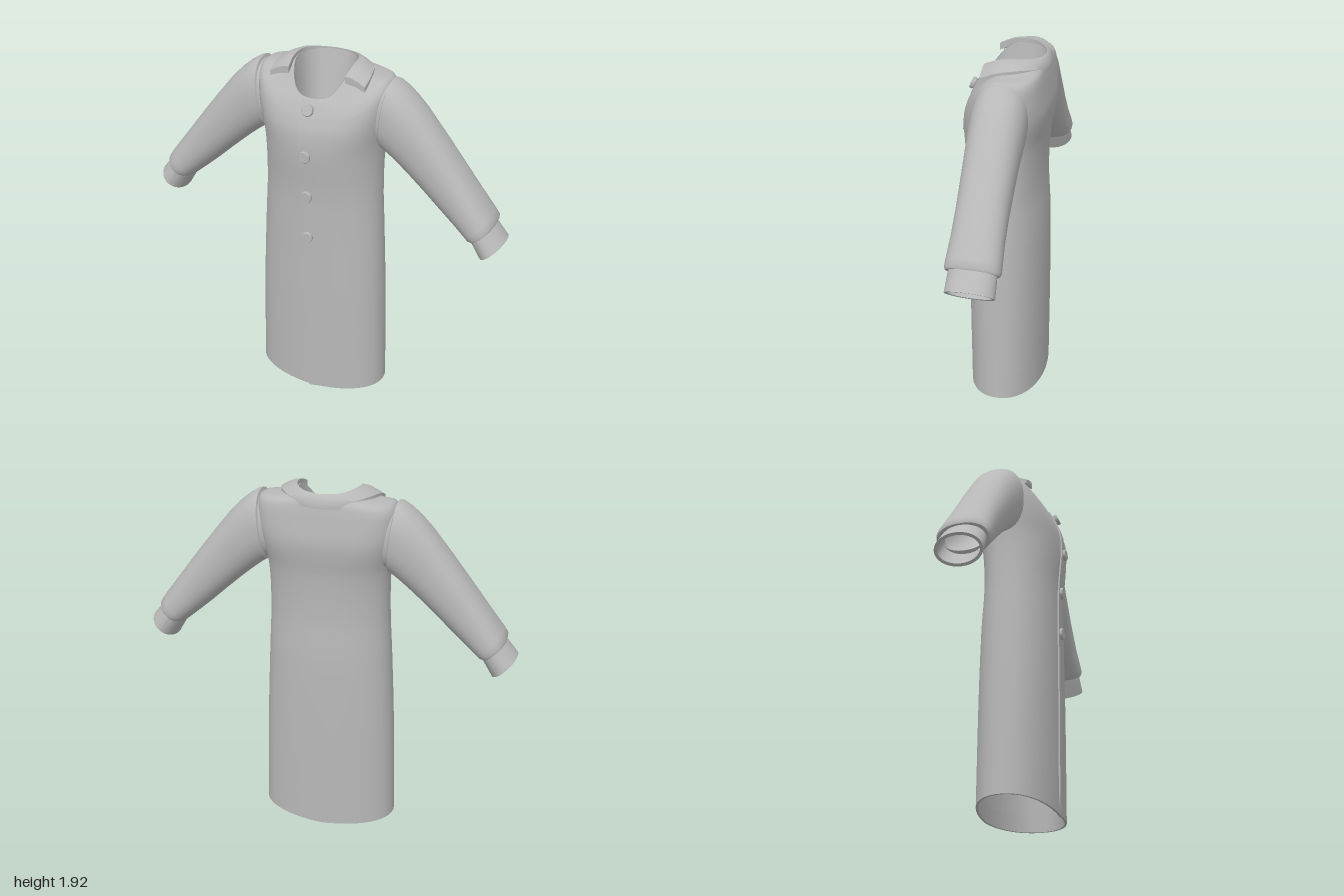
import * as THREE from 'three';
import { toCreasedNormals } from 'three/addons/utils/BufferGeometryUtils.js';

// Skin a grid of points: rings[j][i]; optionally closed around each ring.
function loft(rings, closed = true, crease = 0.7) {
  const n = rings[0].length, pos = rings.flat().flat(), idx = [];
  for (let j = 0; j < rings.length - 1; j++) {
    for (let i = 0; i < (closed ? n : n - 1); i++) {
      const k = (i + 1) % n, a = j * n + i, b = j * n + k, c = a + n, d = b + n;
      idx.push(a, b, d, a, d, c);
    }
  }
  const g = new THREE.BufferGeometry();
  g.setAttribute('position', new THREE.Float32BufferAttribute(pos, 3));
  g.setIndex(idx);
  return toCreasedNormals(g, crease);
}

// Body rows: front y, front z, side y, side x, back y, back z,
// front roundness, side z, back roundness, sharpness of the y change
const ROWS = [
  [0, 0.187, 0.025, 0.37, 0, -0.22, 2.2, -0.015, 2.2, 1],
  [0.6, 0.192, 0.6, 0.353, 0.6, -0.22, 2.2, -0.015, 2.2, 1],
  [1.0, 0.194, 1.0, 0.334, 1.0, -0.215, 2.1, -0.015, 2.2, 1.5],
  [1.25, 0.198, 1.25, 0.32, 1.25, -0.2, 2.1, -0.02, 2.3, 2],
  [1.48, 0.217, 1.5, 0.32, 1.48, -0.207, 2.2, -0.03, 2.6, 2.4],
  [1.6, 0.211, 1.66, 0.345, 1.65, -0.23, 2.4, -0.045, 3.1, 2.6],
  [1.68, 0.186, 1.79, 0.358, 1.78, -0.217, 2.5, -0.05, 3.2, 2.7],
  [1.72, 0.166, 1.858, 0.338, 1.845, -0.207, 2.5, -0.05, 3, 2.8],
  [1.748, 0.152, 1.874, 0.25, 1.878, -0.2, 2.4, -0.04, 2.5, 3],
  [1.768, 0.14, 1.905, 0.154, 1.905, -0.19, 2.3, -0.03, 2.3, 3.2],
];
const LAST = ROWS.length - 1;

// Row values at a fractional row t, smoothly interpolated
function rowAt(t) {
  const i = Math.min(Math.floor(t), LAST - 1), f = t - i;
  const at = (k) => ROWS[Math.max(0, Math.min(LAST, k))];
  return ROWS[i].map((p1, c) => {
    const y = [i - 1, i, i + 1, i + 2].map((k) => at(k)[0]);
    const p2 = at(i + 1)[c], h = y[2] - y[1];
    const m1 = ((p2 - at(i - 1)[c]) / (y[2] - y[0])) * h;
    const m2 = ((at(i + 2)[c] - p1) / (y[3] - y[1])) * h;
    const f2 = f * f, f3 = f2 * f;
    return (2 * f3 - 3 * f2 + 1) * p1 + (f3 - 2 * f2 + f) * m1 + (3 * f2 - 2 * f3) * p2 + (f3 - f2) * m2;
  });
}

// Point on the body at angle a (0 = front, positive to +x)
function bodyPoint(a, t, inset = 0) {
  const [fy, fz, sy, sx, by, bz, nf, zc, nb, sharp] = rowAt(t);
  const s = Math.sin(a), c = Math.cos(a);
  const bend = (v) => Math.sign(v) * Math.abs(v) ** (2 / (c > 0 ? nf : nb));
  const w = Math.abs(s) ** sharp;
  const ez = c > 0 ? fz - zc : zc - bz;
  return [(sx - inset) * bend(s), (c > 0 ? fy : by) * (1 - w) + sy * w, zc + (ez - inset) * bend(c)];
}

const SEG = 64;
const ring = (fn) => Array.from({ length: SEG }, (_, i) => fn((i / SEG) * Math.PI * 2));

// Body shell with a folded hem
function bodyGeometry() {
  const rings = [
    ring((a) => bodyPoint(a, 0.15, 0.012)),
    ring((a) => bodyPoint(a, 0, 0.012)),
  ];
  for (let j = 0; j <= LAST * 5; j++) rings.push(ring((a) => bodyPoint(a, j / 5)));
  return loft(rings);
}

// Lining hanging from the neckline to a narrow opening
function liningGeometry() {
  const low = (a) => {
    const r = a > Math.PI ? a - 2 * Math.PI : a, m = Math.abs(r), k = 0.6;
    const f = m < k ? m / k : (Math.PI - m) / (Math.PI - k);
    return [Math.sign(r) * 0.055 * f, 1.0, m < k ? 0.14 : 0.02 + 0.12 * f];
  };
  const rings = [];
  for (let j = 0; j <= 12; j++) {
    rings.push(ring((a) => {
      const p = low(a), q = bodyPoint(a, LAST, 0.003);
      return p.map((v, k) => v + (q[k] - v) * (j / 12));
    }));
  }
  return loft(rings, true, Math.PI);
}

// Overlapping front edge: a raised strip that fades out to +x
function placketGeometry() {
  const rings = [];
  for (let j = 0; j <= 80; j++) {
    const t = (j / 80) * (LAST - 0.7);
    const row = rowAt(t), q = Math.max(0, 1 - row[0] / 0.06);
    const left = -0.042 + 0.042 * q * q;
    const at = (x, lift) => {
      const a = Math.asin(Math.sign(x) * Math.abs(x / row[3]) ** (row[6] / 2));
      const p = bodyPoint(a, t);
      return [x, p[1], p[2] + lift];
    };
    rings.push([at(left, -0.004), at(left, 0.008), at(0.02, 0.006), at(0.08, -0.002)]);
  }
  return loft(rings, false);
}

// Tube from sections: top x, top y, bottom x, bottom y, half depth;
// n sets how square the section is
function sleeveRings(sections, side, n) {
  const bend = (v) => Math.sign(v) * Math.abs(v) ** (2 / n);
  return sections.map(([tx, ty, bx, by, h]) => Array.from({ length: 40 }, (_, i) => {
    const a = (i / 40) * Math.PI * 2, f = (1 + bend(Math.cos(a))) / 2;
    return [side * (bx + (tx - bx) * f), by + (ty - by) * f, -0.042 + h * bend(Math.sin(a))];
  }));
}
const SLEEVE = [
  [0.31, 1.838, 0.28, 1.53, 0.122],
  [0.352, 1.85, 0.316, 1.515, 0.128],
  [0.358, 1.866, 0.322, 1.498, 0.136],
  [0.378, 1.862, 0.338, 1.49, 0.138],
  [0.42, 1.836, 0.375, 1.463, 0.137],
  [0.47, 1.795, 0.42, 1.427, 0.135],
  [0.53, 1.733, 0.475, 1.38, 0.131],
  [0.63, 1.61, 0.565, 1.3, 0.128],
  [0.73, 1.482, 0.65, 1.222, 0.126],
  [0.83, 1.35, 0.725, 1.157, 0.128],
  [0.915, 1.238, 0.785, 1.107, 0.135],
  [0.937, 1.205, 0.803, 1.092, 0.136],
  [0.936, 1.19, 0.822, 1.088, 0.13],
  [0.92, 1.18, 0.835, 1.1, 0.105],
];
const CUFF = [
  [0.895, 1.225, 0.795, 1.125, 0.112],
  [0.935, 1.178, 0.822, 1.075, 0.118],
  [0.997, 1.105, 0.872, 0.992, 0.122],
  [0.985, 1.096, 0.882, 1.003, 0.106],
  [0.9, 1.2, 0.805, 1.11, 0.1],
];

// Turned-down collar: thick band swept round the back of the neck
function collarGeometry() {
  const path = (half) => new THREE.CatmullRomCurve3(
    [...half, ...half.slice(0, -1).reverse().map(([x, y, z]) => [-x, y, z])].map((p) => new THREE.Vector3(...p)));
  const inner = path([[0.153, 1.888, 0.085], [0.16, 1.92, 0], [0.147, 1.924, -0.1], [0.09, 1.915, -0.165], [0, 1.912, -0.19]]);
  const outer = path([[0.257, 1.85, 0.085], [0.258, 1.882, 0], [0.228, 1.892, -0.1], [0.14, 1.878, -0.188], [0, 1.87, -0.22]]);
  const rings = [];
  for (let j = 0; j <= 48; j++) {
    const p = inner.getPoint(j / 48), q = outer.getPoint(j / 48);
    const at = (f, dy) => [p.x + (q.x - p.x) * f, p.y + (q.y - p.y) * f + dy, p.z + (q.z - p.z) * f];
    rings.push([at(0, -0.035), at(0, 0), at(0.3, 0.008), at(0.65, 0.006), at(1, 0), at(1, -0.026), at(0.5, -0.026)]);
  }
  // close both flap ends
  const cap = (r) => {
    const c = [0, 1, 2].map((k) => r.reduce((s, p) => s + p[k], 0) / r.length);
    return r.map(() => c);
  };
  return loft([cap(rings[0]), ...rings, cap(rings[48])]);
}

export function createModel() {
  const coat = new THREE.Group();
  coat.name = 'coat';
  const cloth = new THREE.MeshStandardMaterial({ color: 0xb8b8b8, side: THREE.DoubleSide });
  cloth.name = 'grey cloth';
  const add = (name, geometry) => {
    const mesh = new THREE.Mesh(geometry, cloth);
    mesh.name = name;
    coat.add(mesh);
    return mesh;
  };

  add('body', bodyGeometry());
  add('neckLining', liningGeometry());
  add('placket', placketGeometry());
  add('collar', collarGeometry());
  for (const [label, side] of [['left', 1], ['right', -1]]) {
    add(label + 'Sleeve', loft(sleeveRings(SLEEVE, side, 2.3)));
    add(label + 'Cuff', loft(sleeveRings(CUFF, side, 2)));
  }

  // Buttons down the front: y, z, backward tilt
  const profile = [[0, -0.01], [0.026, -0.01], [0.031, -0.002], [0.031, 0.009], [0.028, 0.013], [0, 0.013]]
    .map(([x, y]) => new THREE.Vector2(x, y));
  const button = toCreasedNormals(new THREE.LatheGeometry(profile, 24), 0.6);
  [[1.72, 0.184, 0.4], [1.483, 0.226, 0], [1.245, 0.206, -0.05], [1.0, 0.201, 0]].forEach(([y, z, tilt], i) => {
    const mesh = add('button' + (i + 1), button);
    mesh.position.set(-0.002, y, z);
    mesh.rotation.x = Math.PI / 2 - tilt;
  });
  return coat;
}
